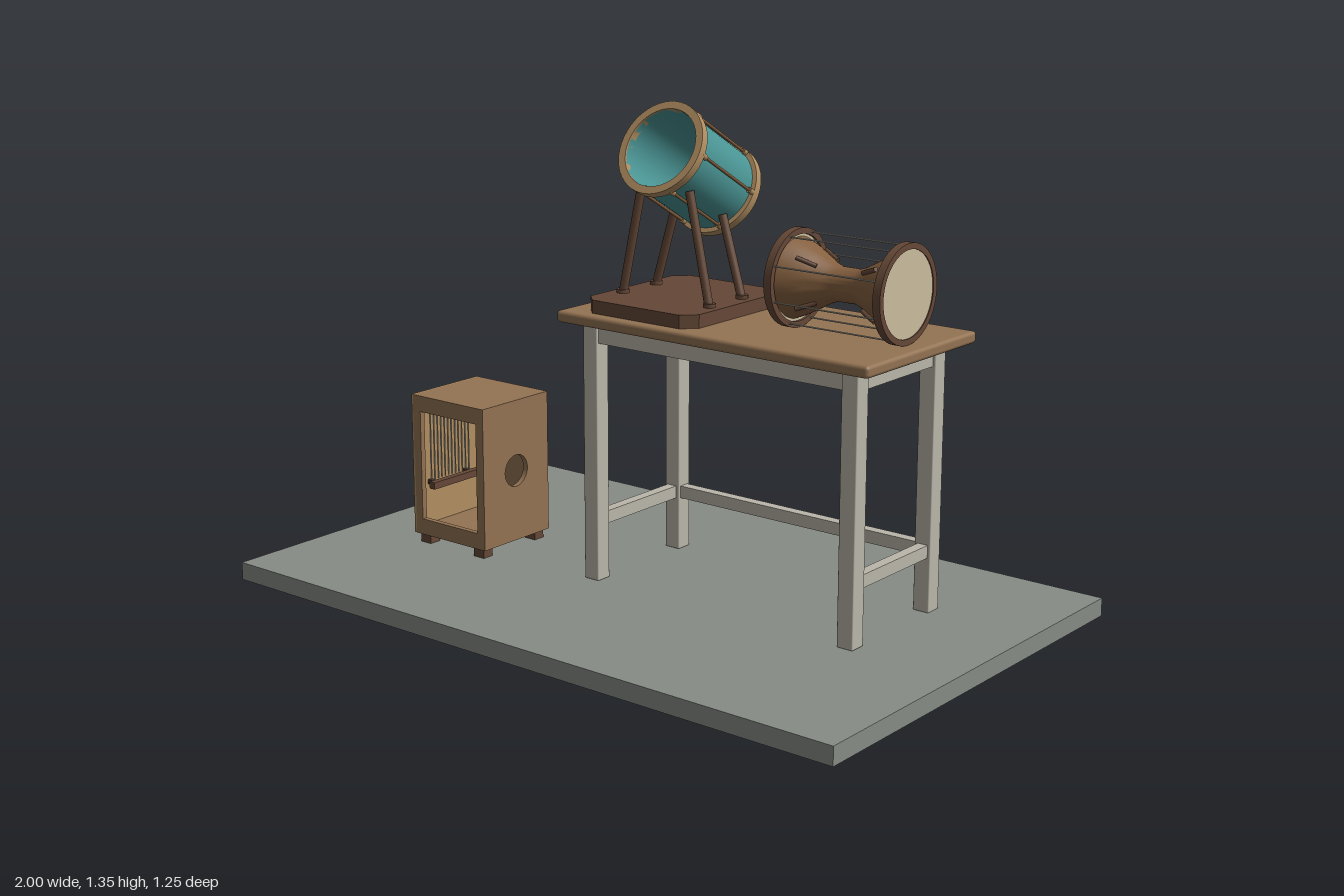
import * as THREE from 'three';
import { toCreasedNormals } from 'three/addons/utils/BufferGeometryUtils.js';
import { RoundedBoxGeometry } from 'three/addons/geometries/RoundedBoxGeometry.js';

const mat = (name, color) => Object.assign(new THREE.MeshStandardMaterial({ color }), { name });
const M = {
  floor: mat('grey floor', 0x868c85),
  wood: mat('brown wood', 0x937353),
  dark: mat('dark wood', 0x654837),
  body: mat('reddish wood', 0x85603f),
  frame: mat('pale grey paint', 0xbab6aa),
  teal: mat('teal lacquer', 0x4b9595),
  tan: mat('light wood', 0xb28f62),
  skin: mat('cream skin', 0xcbbe9e),
  metal: mat('dark metal', 0x4a3c33),
};

function add(parent, name, geo, material, x = 0, y = 0, z = 0) {
  const m = new THREE.Mesh(geo, material);
  m.name = name;
  m.position.set(x, y, z);
  parent.add(m);
  return m;
}

// Box given by its minimum and maximum corners
function box(parent, name, material, a, b, radius = 0) {
  const s = b.map((v, i) => v - a[i]);
  const geo = radius ? new RoundedBoxGeometry(...s, 2, radius) : new THREE.BoxGeometry(...s);
  return add(parent, name, geo, material, ...b.map((v, i) => (v + a[i]) / 2));
}

// Round bar between two points
function bar(parent, name, material, a, b, r, sides = 12) {
  const p = new THREE.Vector3(...a), d = new THREE.Vector3(...b).sub(p);
  const m = add(parent, name, new THREE.CylinderGeometry(r, r, d.length(), sides), material);
  m.position.copy(p).addScaledVector(d, 0.5);
  m.quaternion.setFromUnitVectors(new THREE.Vector3(0, 1, 0), d.normalize());
  return m;
}

function lathe(points, sides = 48) {
  return toCreasedNormals(new THREE.LatheGeometry(points.map(p => new THREE.Vector2(...p)), sides), 0.6);
}

// Tube wall with square ends, between two heights
const ring = (rIn, rOut, y0, y1) =>
  lathe([[rIn, y0], [rOut, y0], [rOut, y1], [rIn, y1], [rIn, y0]]);

function rectShape(w, h) {
  return new THREE.Shape([[-w / 2, -h / 2], [w / 2, -h / 2], [w / 2, h / 2], [-w / 2, h / 2]]
    .map(p => new THREE.Vector2(...p)));
}

function buildTable() {
  const g = new THREE.Group();
  g.name = 'table';
  box(g, 'tableTop', M.wood, [-0.23, 0.765, -0.333], [0.763, 0.797, 0.163], 0.01);
  for (const x of [-0.175, 0.657])
    for (const z of [-0.28, 0.07])
      box(g, 'tableLeg', M.frame, [x, 0.05, z], [x + 0.048, 0.765, z + 0.048], 0.003);
  for (const z of [-0.272, 0.08])
    box(g, 'longApron', M.frame, [-0.128, 0.712, z], [0.658, 0.765, z + 0.03]);
  for (const x of [-0.167, 0.667]) {
    box(g, 'sideApron', M.frame, [x, 0.712, -0.233], [x + 0.03, 0.765, 0.071]);
    box(g, 'sideStretcher', M.frame, [x, 0.2, -0.233], [x + 0.03, 0.235, 0.071]);
  }
  box(g, 'backStretcher', M.frame, [-0.128, 0.2, -0.27], [0.658, 0.235, -0.24]);
  return g;
}

function buildStand() {
  const g = new THREE.Group();
  g.name = 'drumStand';
  // Plinth with cut corners
  const w = 0.183, h = 0.208, c = 0.037, s = new THREE.Shape();
  [[w - c, -h], [w, c - h], [w, h - c], [w - c, h], [c - w, h], [-w, h - c], [-w, c - h], [c - w, -h]]
    .forEach(([x, y], i) => (i ? s.lineTo(x, y) : s.moveTo(x, y)));
  const geo = new THREE.ExtrudeGeometry(s, { depth: 0.036, bevelEnabled: false });
  geo.rotateX(-Math.PI / 2);
  add(g, 'plinth', geo, M.dark, 0.015, 0.797, -0.078);
  // Splayed legs, taller at the front
  for (const side of [-1, 1])
    for (const [z, top] of [[0.005, 1.13], [-0.135, 1.05]]) {
      bar(g, 'standLeg', M.dark, [0.016 + side * 0.146, 0.83, z], [0.016 + side * 0.08, top, z], 0.012);
      add(g, 'legSocket', new THREE.CylinderGeometry(0.017, 0.017, 0.012, 16), M.dark, 0.016 + side * 0.146, 0.837, z);
    }
  return g;
}

function buildBarrelDrum() {
  const g = new THREE.Group();
  g.name = 'barrelDrum';
  add(g, 'shell', ring(0.109, 0.117, -0.14, 0.14), M.teal);
  for (const y of [-0.146, 0.122]) add(g, 'hoop', ring(0.109, 0.13, y, y + 0.024), M.tan);
  add(g, 'skin', new THREE.CylinderGeometry(0.115, 0.115, 0.006, 48), M.skin, 0, -0.141, 0);
  box(g, 'innerBar', M.metal, [-0.008, -0.137, -0.1], [0.008, -0.125, 0.1]);
  // Tension rods with lugs at the hoops
  for (let i = 0; i < 6; i++) {
    const a = i * Math.PI / 3, x = Math.cos(a) * 0.123, z = Math.sin(a) * 0.123;
    bar(g, 'tensionRod', M.body, [x, -0.13, z], [x, 0.13, z], 0.0045, 8);
    for (const y of [-0.117, 0.117])
      add(g, 'lug', new THREE.CylinderGeometry(0.008, 0.008, 0.02, 10), M.tan, x, y, z);
  }
  g.rotation.x = Math.PI / 3;
  g.position.set(0.016, 1.166, -0.099);
  return g;
}

function buildHourglassDrum() {
  const g = new THREE.Group();
  g.name = 'hourglassDrum';
  const half = [[0.165, 0.108], [0.13, 0.094], [0.09, 0.073], [0.055, 0.054], [0.03, 0.045]];
  const profile = [...half.map(([y, r]) => [r, -y]), ...half.slice().reverse().map(([y, r]) => [r, y])];
  add(g, 'body', lathe(profile), M.body);
  for (const s of [-1, 1]) {
    const y = s * 0.164;
    add(g, 'hoop', ring(0.113, 0.129, y - 0.011, y + 0.011), M.dark);
    add(g, 'skin', new THREE.CylinderGeometry(0.115, 0.115, 0.012, 48), M.skin, 0, y + s * 0.002, 0);
    // Pegs lying along the flared body
    for (let i = 0; i < 4; i++) {
      const a = (i + 0.5) * Math.PI / 2, c = Math.cos(a), d = Math.sin(a);
      bar(g, 'peg', M.dark, [c * 0.068, s * 0.07, d * 0.068], [c * 0.094, s * 0.12, d * 0.094], 0.006, 8);
    }
  }
  // Cords between the hoops
  for (let i = 0; i < 8; i++) {
    const a = (i + 0.5) * Math.PI / 4, x = Math.cos(a) * 0.121, z = Math.sin(a) * 0.121;
    bar(g, 'cord', M.frame, [x, -0.16, z], [x, 0.16, z], 0.0022, 6);
  }
  g.rotation.z = -Math.PI / 2;
  g.position.set(0.54, 0.926, -0.083);
  return g;
}

function buildBoxDrum() {
  const g = new THREE.Group();
  g.name = 'boxDrum';
  const x0 = -0.757, x1 = -0.487, y0 = 0.076, y1 = 0.484, z0 = -0.083, z1 = 0.183, t = 0.016;
  box(g, 'topPanel', M.wood, [x0, y1 - t, z0], [x1, y1, z1]);
  box(g, 'bottomPanel', M.wood, [x0, y0, z0], [x1, y0 + t, z1]);
  box(g, 'backPanel', M.wood, [x0, y0 + t, z0], [x1, y1 - t, z0 + t]);
  // Front frame with a window
  const front = rectShape(x1 - x0, y1 - y0 - 2 * t);
  const win = rectShape(0.214, 0.316);
  front.holes.push(new THREE.Path(win.getPoints().reverse()));
  add(g, 'frontFrame', new THREE.ExtrudeGeometry(front, { depth: t, bevelEnabled: false }),
    M.wood, (x0 + x1) / 2, (y0 + y1) / 2, z1 - t);
  // Side with a round sound hole
  const side = rectShape(z1 - z0 - 2 * t, y1 - y0 - 2 * t);
  side.holes.push(new THREE.Path().absarc(0, 0, 0.046, 0, Math.PI * 2, true));
  const sideGeo = new THREE.ExtrudeGeometry(side, { depth: t, bevelEnabled: false, curveSegments: 24 });
  sideGeo.rotateY(Math.PI / 2);
  add(g, 'holedSide', sideGeo, M.wood, x1 - t, (y0 + y1) / 2, (z0 + z1) / 2);
  // Playing face with corner screws
  box(g, 'playingFace', M.tan, [x0 - 0.005, y0, z0], [x0 + 0.003, y1, z1]);
  for (const y of [y0 + 0.02, (y0 + y1) / 2, y1 - 0.02])
    for (const z of [z0 + 0.018, z1 - 0.018])
      bar(g, 'screw', M.metal, [x0 - 0.008, y, z], [x0, y, z], 0.006, 10);
  // Snare wires and their bar
  for (let i = 0; i < 12; i++) {
    const z = -0.03 + i * 0.014;
    bar(g, 'snareWire', M.frame, [x0 + 0.008, 0.22, z], [x0 + 0.008, 0.43, z], 0.002, 6);
  }
  box(g, 'snareBar', M.dark, [-0.727, 0.206, -0.06], [-0.707, 0.226, 0.155]);
  for (const z of [-0.02, 0.12]) box(g, 'snareBracket', M.metal, [x0, 0.209, z], [-0.725, 0.223, z + 0.014]);
  for (const x of [-0.745, -0.537])
    for (const z of [-0.072, 0.14])
      box(g, 'foot', M.dark, [x, 0.05, z], [x + 0.038, y0, z + 0.036]);
  return g;
}

export function createModel() {
  const model = new THREE.Group();
  model.name = 'drumDisplay';
  box(model, 'floor', M.floor, [-1, 0, -0.624], [1, 0.05, 0.624]);
  model.add(buildTable(), buildStand(), buildBarrelDrum(), buildHourglassDrum(), buildBoxDrum());
  return model;
}
